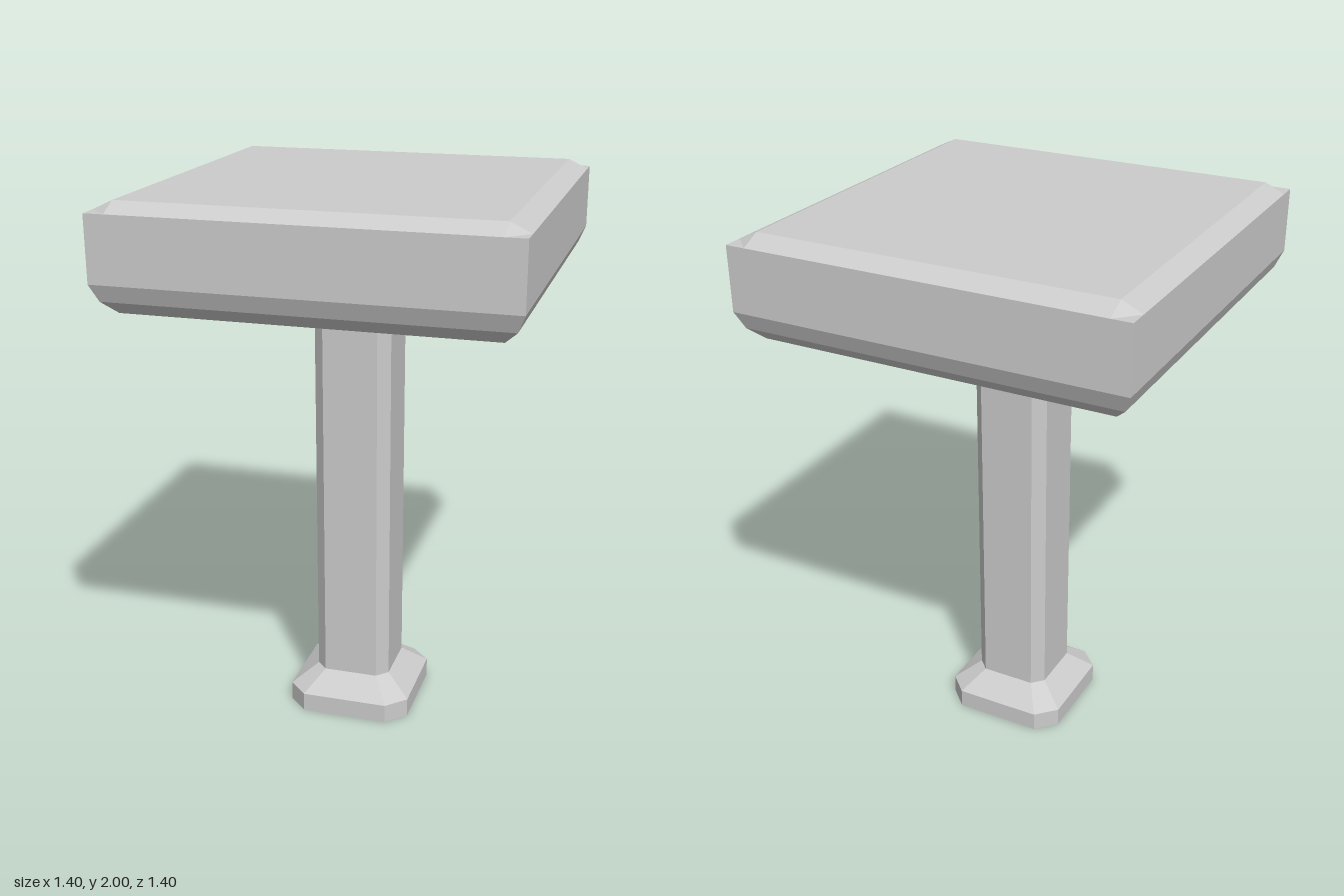
import * as THREE from 'three';

// Eight-point ring: a square of half-width h whose flat sides have half-length f
function ring([h, f, y]) {
  return [[h, -f], [h, f], [f, h], [-f, h], [-h, f], [-h, -f], [-f, -h], [f, -h]]
    .map(([x, z]) => new THREE.Vector3(x, y, z));
}

// Faceted skin through a list of rings, skipping collapsed triangles
function loft(name, profile, material) {
  const rings = profile.map(ring);
  const points = [];
  const addTriangle = (a, b, c) => {
    if (new THREE.Triangle(a, b, c).getArea() > 1e-7) points.push(a, b, c);
  };
  for (let i = 0; i < rings.length - 1; i++) {
    for (let j = 0; j < 8; j++) {
      const k = (j + 1) % 8;
      addTriangle(rings[i][j], rings[i + 1][j], rings[i][k]);
      addTriangle(rings[i][k], rings[i + 1][j], rings[i + 1][k]);
    }
  }
  const geometry = new THREE.BufferGeometry().setFromPoints(points);
  geometry.computeVertexNormals();
  const mesh = new THREE.Mesh(geometry, material);
  mesh.name = name;
  return mesh;
}

export function createModel() {
  const group = new THREE.Group();
  group.name = 'pedestalTable';
  const grey = new THREE.MeshStandardMaterial({ color: 0xcccccc });
  grey.name = 'plain grey';

  // Foot: chamfered block sloping in to the post
  group.add(loft('foot', [
    [0, 0, 0], [0.23, 0.16, 0], [0.23, 0.16, 0.07], [0.14, 0.1, 0.14],
  ], grey));

  // Post with chamfered corners
  group.add(loft('post', [[0.14, 0.1, 0.14], [0.14, 0.1, 1.69]], grey));

  // Collar flaring out to the underside of the top
  group.add(loft('collar', [[0.14, 0.1, 1.69], [0.18, 0.18, 1.73]], grey));

  // Top: recessed underside, bevelled lower edge, straight sides, bevelled upper edge
  group.add(loft('tableTop', [
    [0, 0, 1.73], [0.42, 0.42, 1.73], [0.55, 0.55, 1.69], [0.63, 0.63, 1.635],
    [0.675, 0.675, 1.68], [0.7, 0.7, 1.74], [0.7, 0.7, 1.967],
    [0.7, 0.63, 1.967], [0.63, 0.63, 2], [0, 0, 2],
  ], grey));

  return group;
}
